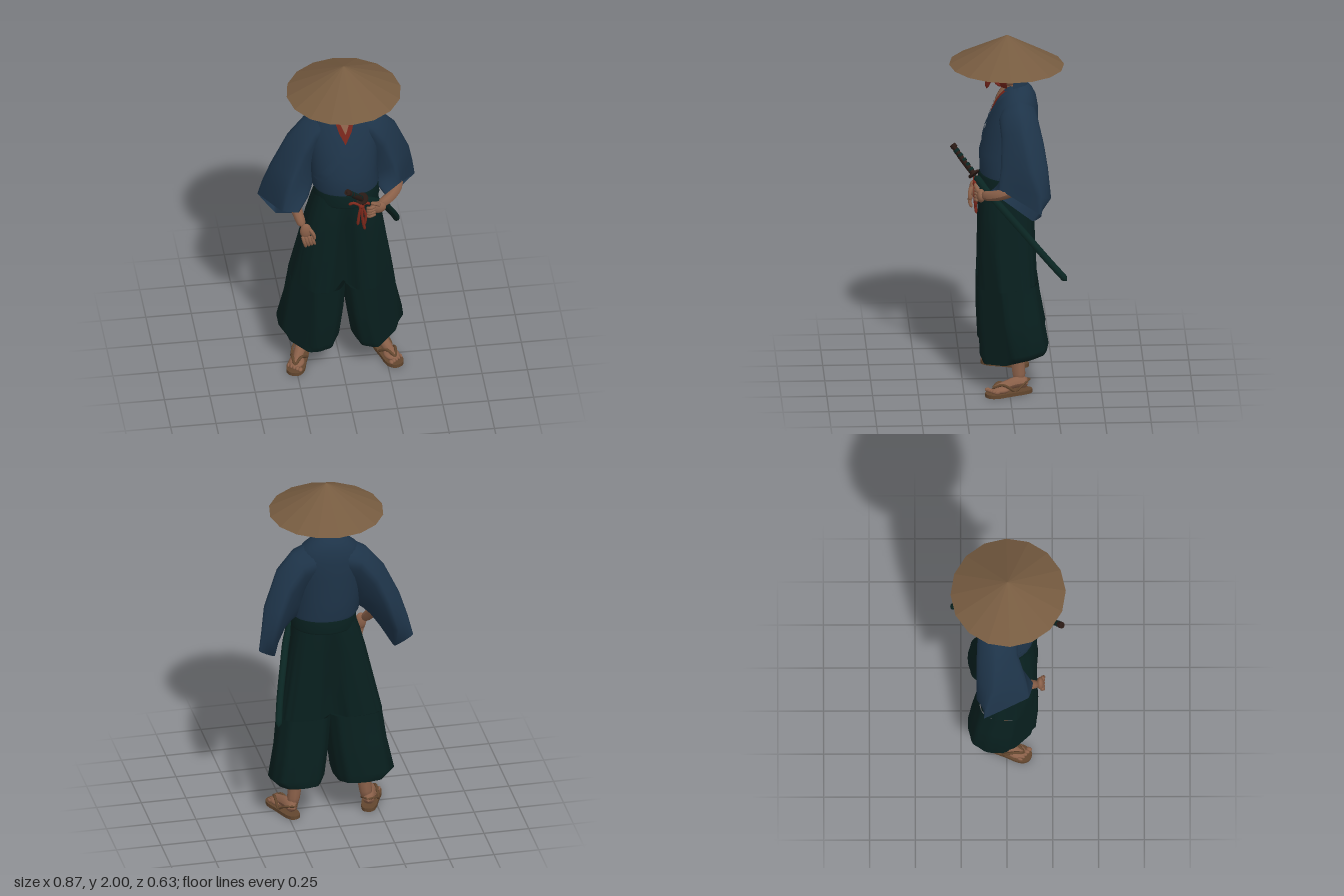
import * as THREE from 'three';

const V = (p) => new THREE.Vector3(...p);
const paint = (name, color, side = THREE.DoubleSide) => {
  const m = new THREE.MeshStandardMaterial({ color, side });
  m.name = name;
  return m;
};

export function createModel() {
  const model = new THREE.Group();
  model.name = 'wanderingSwordsman';
  const straw = paint('straw', 0x765b40);
  straw.flatShading = true;
  const blue = paint('indigo cloth', 0x1e3449);
  const green = paint('dark green cloth', 0x081f1e);
  const skin = paint('skin', 0x8a6049);
  const red = paint('mask red', 0x76251b);
  const cordRed = paint('cord red', 0x7c281b);
  const hair = paint('hair', 0x39312a);
  const sandal = paint('sandal brown', 0x62462e);
  const lacquer = paint('lacquer', 0x0a2522);
  const dark = paint('dark brown', 0x2a1a15);

  const add = (name, geo, mat, parent = model) => {
    const m = new THREE.Mesh(geo, mat);
    m.name = name;
    parent.add(m);
    return m;
  };
  const ball = (name, mat, pos, scale, parent = model) => {
    const m = add(name, new THREE.SphereGeometry(1, 16, 12), mat, parent);
    m.position.set(...pos);
    m.scale.set(...scale);
    return m;
  };

  // Skin over a list of closed rings of equal length
  function loft(rings, capped = false) {
    const n = rings[0].length, pos = [], idx = [];
    rings.forEach((r) => r.forEach((p) => pos.push(p.x, p.y, p.z)));
    for (let i = 0; i < rings.length - 1; i++) for (let j = 0; j < n; j++) {
      const a = i * n + j, b = i * n + (j + 1) % n;
      idx.push(a, a + n, b, b, a + n, b + n);
    }
    if (capped) {
      const o = (rings.length - 1) * n;
      for (let j = 1; j < n - 1; j++) idx.push(o, o + j + 1, o + j);
    }
    const g = new THREE.BufferGeometry();
    g.setAttribute('position', new THREE.Float32BufferAttribute(pos, 3));
    g.setIndex(idx);
    g.computeVertexNormals();
    return g;
  }

  // Tapered, closed tube through points; sharp sets how blunt its ends are
  function limb(name, mat, pts, r0, r1, parent = model, sharp = 8) {
    const curve = new THREE.CatmullRomCurve3(pts.map(V)), n = sharp > 8 ? 40 : 12, rs = 9;
    const g = new THREE.TubeGeometry(curve, n, 1, rs, false), p = g.attributes.position;
    for (let k = 0; k < p.count; k++) {
      const t = Math.floor(k / (rs + 1)) / n, c = curve.getPointAt(t);
      const r = (r0 + (r1 - r0) * t) * Math.sqrt(Math.max(0, 1 - Math.abs(2 * t - 1) ** sharp));
      const v = new THREE.Vector3().fromBufferAttribute(p, k).sub(c).multiplyScalar(r).add(c);
      p.setXYZ(k, v.x, v.y, v.z);
    }
    g.computeVertexNormals();
    return add(name, g, mat, parent);
  }

  // Straw hat
  const hat = add('strawHat', new THREE.ConeGeometry(0.315, 0.17, 16, 1, true), straw);
  hat.position.set(0.02, 1.913, 0.006);
  hat.rotation.set(-0.02, 0.03, 0);

  // Head, hair, ears and neck
  ball('head', skin, [0.015, 1.805, -0.008], [0.083, 0.11, 0.088]);
  const cap = ball('hair', hair, [0.015, 1.815, -0.015], [0.09, 0.1, 0.09]);
  cap.geometry = new THREE.SphereGeometry(1, 20, 14, 0, Math.PI * 2, 0, Math.PI * 0.62);
  cap.rotation.x = -0.55;
  for (const s of [-1, 1]) ball('ear', skin, [0.015 + s * 0.09, 1.79, -0.018], [0.011, 0.033, 0.022]);
  limb('neck', skin, [[0.015, 1.6, -0.04], [0.015, 1.68, -0.03], [0.015, 1.77, -0.015]], 0.058, 0.052);

  // Long-nosed mask
  const mask = ball('mask', red, [0.018, 1.797, 0.003], [0.093, 0.107, 0.086]);
  mask.geometry = new THREE.SphereGeometry(1, 20, 14, 0.1, Math.PI - 0.2);
  limb('maskNose', red, [[0.017, 1.82, 0.075], [0.015, 1.765, 0.1], [0.012, 1.685, 0.117]], 0.037, 0.008);
  for (const s of [-1, 1]) {
    ball('eye', dark, [0.018 + s * 0.042, 1.797, 0.08], [0.017, 0.007, 0.006]).rotation.z = s * 0.25;
    limb('brow', dark, [[0.018 + s * 0.018, 1.806, 0.088], [0.018 + s * 0.045, 1.82, 0.078], [0.018 + s * 0.075, 1.822, 0.054]], 0.007, 0.004);
    limb('maskCheek', red, [[0.018 + s * 0.02, 1.765, 0.082], [0.018 + s * 0.05, 1.742, 0.067], [0.018 + s * 0.058, 1.72, 0.045]], 0.014, 0.008);
  }
  limb('maskMouth', dark, [[-0.015, 1.727, 0.062], [0.018, 1.735, 0.07], [0.051, 1.727, 0.062]], 0.005, 0.005);

  // Jacket body: y, centre x, radius x, centre z, radius z
  const torso = [
    [1.19, 0.035, 0.168, 0.005, 0.143], [1.23, 0.028, 0.186, 0.003, 0.153], [1.34, 0.02, 0.184, 0, 0.158],
    [1.48, 0.02, 0.192, -0.022, 0.14], [1.58, 0.02, 0.19, -0.042, 0.123], [1.65, 0.017, 0.15, -0.05, 0.102],
    [1.69, 0.015, 0.1, -0.052, 0.08], [1.715, 0.015, 0.068, -0.05, 0.058]];
  const oval = ([y, cx, rx, cz, rz], n = 32) => Array.from({ length: n }, (_, j) => {
    const a = (j / n) * Math.PI * 2;
    return new THREE.Vector3(cx + rx * Math.cos(a), y, cz + rz * Math.sin(a));
  });
  add('jacketBody', loft(torso.map((s) => oval(s)), true), blue);
  const backCollar = add('backCollar', new THREE.CylinderGeometry(0.066, 0.085, 0.075, 20, 1, true, Math.PI * 0.45, Math.PI * 1.1), blue);
  backCollar.position.set(0.015, 1.703, -0.035);

  // Front layers that hug the chest: rows of y, x from, x to
  const chestZ = (x, y) => {
    let i = 0;
    while (i < torso.length - 2 && torso[i + 1][0] < y) i++;
    const t = (y - torso[i][0]) / (torso[i + 1][0] - torso[i][0]);
    const [, cx, rx, cz, rz] = torso[i].map((v, k) => v + (torso[i + 1][k] - v) * t);
    return cz + rz * Math.sqrt(Math.max(0, 1 - ((x - cx) / rx) ** 2));
  };
  function patch(name, mat, rows, lift) {
    const n = 6, m = (rows.length - 1) * 4;
    const g = new THREE.PlaneGeometry(1, 1, n, m), p = g.attributes.position;
    for (let k = 0; k < p.count; k++) {
      const f = Math.floor(k / (n + 1)) / 4, i = Math.min(Math.floor(f), rows.length - 2);
      const [y, x0, x1] = rows[i].map((v, c) => v + (rows[i + 1][c] - v) * (f - i));
      const x = x0 + (x1 - x0) * ((k % (n + 1)) / n);
      p.setXYZ(k, x, y, chestZ(x, y) + lift);
    }
    g.computeVertexNormals();
    add(name, g, mat);
  }
  patch('underCollar', red, [[1.69, -0.05, 0.085], [1.6, -0.018, 0.058], [1.53, 0.018, 0.022]], 0.004);
  patch('chestSkin', skin, [[1.7, -0.026, 0.062], [1.65, -0.008, 0.046], [1.59, 0.019, 0.023]], 0.007);
  patch('rightLapel', blue, [[1.69, -0.08, -0.045], [1.6, -0.05, -0.016], [1.52, -0.01, 0.02]], 0.007);
  patch('leftLapel', blue, [[1.69, 0.08, 0.105], [1.6, 0.055, 0.09], [1.53, 0.016, 0.06], [1.42, -0.075, -0.03], [1.3, -0.155, -0.11]], 0.008);

  // Wide sleeves: rings of front, outer, back and inner corners, squarer toward the opening
  const sleeve = (name, rings) => add(name, loft(rings.map((r, i) =>
    new THREE.CatmullRomCurve3(r.map(V), true, 'catmullrom', 0.55 - 0.45 * i / (rings.length - 1)).getPoints(24).slice(0, 24))), blue);
  sleeve('leftSleeve', [
    [[0.1, 1.59, 0.03], [0.1, 1.685, -0.055], [0.1, 1.57, -0.15], [0.13, 1.4, -0.05]],
    [[0.175, 1.56, 0.055], [0.225, 1.625, -0.06], [0.175, 1.55, -0.16], [0.16, 1.35, -0.05]],
    [[0.24, 1.47, 0.045], [0.315, 1.53, -0.07], [0.26, 1.45, -0.185], [0.17, 1.28, -0.04]],
    [[0.295, 1.33, 0.05], [0.395, 1.33, -0.11], [0.31, 1.33, -0.205], [0.185, 1.22, -0.03]],
    [[0.315, 1.26, 0.055], [0.42, 1.2, -0.155], [0.36, 1.17, -0.22], [0.2, 1.19, 0.03]],
    [[0.325, 1.205, 0.055], [0.435, 1.095, -0.165], [0.335, 1.028, -0.12], [0.235, 1.17, 0.105]]]);
  sleeve('rightSleeve', [
    [[-0.07, 1.59, 0.03], [-0.07, 1.685, -0.055], [-0.07, 1.57, -0.15], [-0.1, 1.4, -0.05]],
    [[-0.14, 1.56, 0.055], [-0.195, 1.61, -0.06], [-0.14, 1.55, -0.16], [-0.125, 1.35, -0.05]],
    [[-0.205, 1.46, 0.06], [-0.285, 1.5, -0.06], [-0.225, 1.44, -0.165], [-0.14, 1.28, -0.03]],
    [[-0.27, 1.32, 0.095], [-0.37, 1.32, -0.07], [-0.285, 1.3, -0.165], [-0.155, 1.22, 0.02]],
    [[-0.31, 1.22, 0.11], [-0.41, 1.19, -0.105], [-0.335, 1.13, -0.165], [-0.185, 1.18, 0.08]],
    [[-0.335, 1.125, 0.118], [-0.437, 1.075, -0.125], [-0.345, 0.98, -0.06], [-0.245, 1.125, 0.142]]]);

  // Forearms and hands
  limb('leftForearm', skin, [[0.31, 1.24, -0.1], [0.31, 1.178, 0.035], [0.268, 1.152, 0.095], [0.19, 1.132, 0.15]], 0.034, 0.027);
  ball('leftPalm', skin, [0.19, 1.128, 0.155], [0.045, 0.036, 0.024]);
  limb('rightForearm', skin, [[-0.28, 1.26, -0.03], [-0.26, 1.14, 0.075], [-0.225, 1.04, 0.172]], 0.037, 0.026);
  ball('rightPalm', skin, [-0.212, 1.025, 0.182], [0.032, 0.048, 0.02]);
  for (let i = 0; i < 4; i++) {
    const y = 1.15 - i * 0.018, x = -0.232 + i * 0.017;
    limb('leftFinger', skin, [[0.175, y, 0.17], [0.145, y - 0.005, 0.182], [0.125, y - 0.015, 0.165]], 0.011, 0.009);
    limb('rightFinger', skin, [[x, 1.0, 0.19], [x + 0.01, 0.96, 0.2], [x + 0.02, 0.92 + i * 0.005, 0.188]], 0.011, 0.008);
  }
  limb('leftThumb', skin, [[0.2, 1.15, 0.165], [0.17, 1.172, 0.18], [0.145, 1.182, 0.185]], 0.013, 0.009);
  limb('rightThumb', skin, [[-0.195, 1.045, 0.19], [-0.172, 1.01, 0.2], [-0.165, 0.975, 0.2]], 0.013, 0.009);

  // Pleated trousers: y, left x, right x, back z, front z; the hem drops toward the front,
  // the front outer corners are cut off and a crease (0 to 1) divides the seat
  const boxy = ([y, x0, x1, z0, z1], pleats, power, crease) => Array.from({ length: pleats * 6 }, (_, j, n = pleats * 6) => {
    const a = (j / n) * Math.PI * 2, c = Math.cos(a), s = Math.sin(a), k = 1.2 - y;
    const f = 1 - 0.035 * k * (0.5 + 0.5 * Math.cos(a * pleats));
    let x = (x0 + x1) / 2 + f * (x1 - x0) / 2 * Math.sign(c) * Math.abs(c) ** power;
    let z = (z0 + z1) / 2 + f * (z1 - z0) / 2 * Math.sign(s) * Math.abs(s) ** power;
    z *= 1 - crease * Math.exp(-(((x - 0.015) / 0.04) ** 2));
    const cut = Math.max(0, Math.abs(x - 0.005) + z - 0.33) / 2;
    x -= Math.sign(x) * cut;
    z -= cut;
    return new THREE.Vector3(x, y - 0.22 * k * z, z);
  });
  add('trouserSeat', loft([[1.2, -0.13, 0.195, -0.125, 0.14], [1.1, -0.163, 0.212, -0.137, 0.158], [1, -0.19, 0.23, -0.142, 0.168],
    [0.8, -0.235, 0.262, -0.15, 0.17], [0.6, -0.28, 0.295, -0.158, 0.172]]
    .map((r, i) => boxy(r, 18, 0.8 - i * 0.07, i * 0.14))), green);
  for (const [name, xs] of [
    ['leftTrouserLeg', [[0.005, 0.295], [0.022, 0.32], [0.05, 0.358], [0.072, 0.31]]],
    ['rightTrouserLeg', [[-0.28, 0.028], [-0.303, 0.016], [-0.34, -0.005], [-0.285, -0.02]]]]) {
    const levels = [[0.6, -0.158, 0.172], [0.42, -0.182, 0.17], [0.235, -0.213, 0.163], [0.185, -0.205, 0.138]];
    add(name, loft(levels.map(([y, z0, z1], i) => boxy([y, ...xs[i], z0, z1], 10, 0.7, 0))), green);
  }
  add('waistBand', loft([[1.14, 0.035, 0.178, 0.008, 0.158], [1.15, 0.035, 0.181, 0.008, 0.162], [1.21, 0.035, 0.176, 0.006, 0.157], [1.22, 0.035, 0.165, 0.006, 0.146]].map((s) => oval(s))), green);

  // Sheathed sword
  limb('scabbard', lacquer, [[0.1, 1.215, 0.185], [0.182, 1.135, 0.11], [0.237, 1.05, 0.026], [0.278, 0.94, -0.075], [0.328, 0.79, -0.21], [0.356, 0.685, -0.307]], 0.021, 0.019, model, 60);
  limb('hilt', dark, [[0, 1.362, 0.303], [0.05, 1.29, 0.25], [0.1, 1.215, 0.185]], 0.015, 0.016, model, 60);
  const axis = V([0.1, -0.147, -0.122]).normalize();
  const ringOn = (name, mat, pos, r, h) => {
    const m = add(name, new THREE.CylinderGeometry(r, r, h, 16), mat);
    m.position.set(...pos);
    m.quaternion.setFromUnitVectors(V([0, 1, 0]), axis);
  };
  ringOn('swordGuard', dark, [0.098, 1.222, 0.19], 0.034, 0.01);
  ringOn('hiltCap', dark, [0.006, 1.352, 0.296], 0.018, 0.02);
  for (let i = 0; i < 5; i++) ringOn('hiltWrap', lacquer, [0.022 + i * 0.015, 1.33 - i * 0.0222, 0.28 - i * 0.0185], 0.017, 0.016);

  // Red cord: knot, loops and tails
  ball('cordKnot', cordRed, [0.095, 1.165, 0.185], [0.017, 0.014, 0.012]);
  [[[0.09, 1.17, 0.185], [0.05, 1.19, 0.183], [0.025, 1.175, 0.175]],
    [[0.095, 1.165, 0.185], [0.12, 1.19, 0.19], [0.14, 1.175, 0.182]],
    [[0.09, 1.165, 0.185], [0.08, 1.09, 0.18], [0.075, 1.03, 0.176]],
    [[0.095, 1.165, 0.185], [0.1, 1.08, 0.184], [0.115, 0.995, 0.177]],
    [[0.1, 1.165, 0.185], [0.118, 1.1, 0.184], [0.11, 1.03, 0.18]]]
    .forEach((pts) => limb('cord', cordRed, pts, 0.007, 0.009));

  // Feet in strapped sandals
  const sole = new THREE.Shape();
  sole.moveTo(0, -0.135);
  sole.bezierCurveTo(0.055, -0.135, 0.04, -0.05, 0.048, 0.03);
  sole.bezierCurveTo(0.06, 0.1, 0.04, 0.137, 0, 0.137);
  sole.bezierCurveTo(-0.04, 0.137, -0.06, 0.1, -0.048, 0.03);
  sole.bezierCurveTo(-0.04, -0.05, -0.055, -0.135, 0, -0.135);
  for (const [name, x, yaw] of [['leftFoot', 0.26, 0.36], ['rightFoot', -0.228, -0.34]]) {
    const foot = new THREE.Group();
    foot.name = name;
    foot.position.set(x, 0, 0.005);
    foot.rotation.y = yaw;
    model.add(foot);
    const base = add('sole', new THREE.ExtrudeGeometry(sole, { depth: 0.02, bevelEnabled: false, curveSegments: 8 }), sandal, foot);
    base.rotation.x = Math.PI / 2;
    base.position.y = 0.02;
    limb('instep', skin, [[0, 0.052, -0.115], [0, 0.064, -0.05], [0, 0.05, 0.03], [0, 0.038, 0.1]], 0.036, 0.022, foot);
    ball('forefoot', skin, [0, 0.033, 0.05], [0.043, 0.022, 0.055], foot);
    limb('shin', skin, [[-yaw * 0.03, 0.04, -0.07], [-yaw * 0.08, 0.16, -0.065], [-yaw * 0.1, 0.42, -0.05]], 0.034, 0.048, foot);
    for (let i = 0; i < 5; i++) {
      ball('toe', skin, [Math.sign(yaw) * (i * 0.018 - 0.034), 0.031, 0.112 - i * 0.007], [0.012 - i * 0.0012, 0.011, 0.016], foot);
    }
    for (const s of [-1, 1]) {
      limb('strap', sandal, [[0, 0.045, 0.1], [s * 0.024, 0.067, 0.05], [s * 0.047, 0.025, -0.02]], 0.008, 0.008, foot);
      limb('heelStrap', sandal, [[s * 0.046, 0.025, -0.02], [s * 0.04, 0.06, -0.07], [0, 0.075, -0.128]], 0.006, 0.006, foot);
    }
  }
  return model;
}
